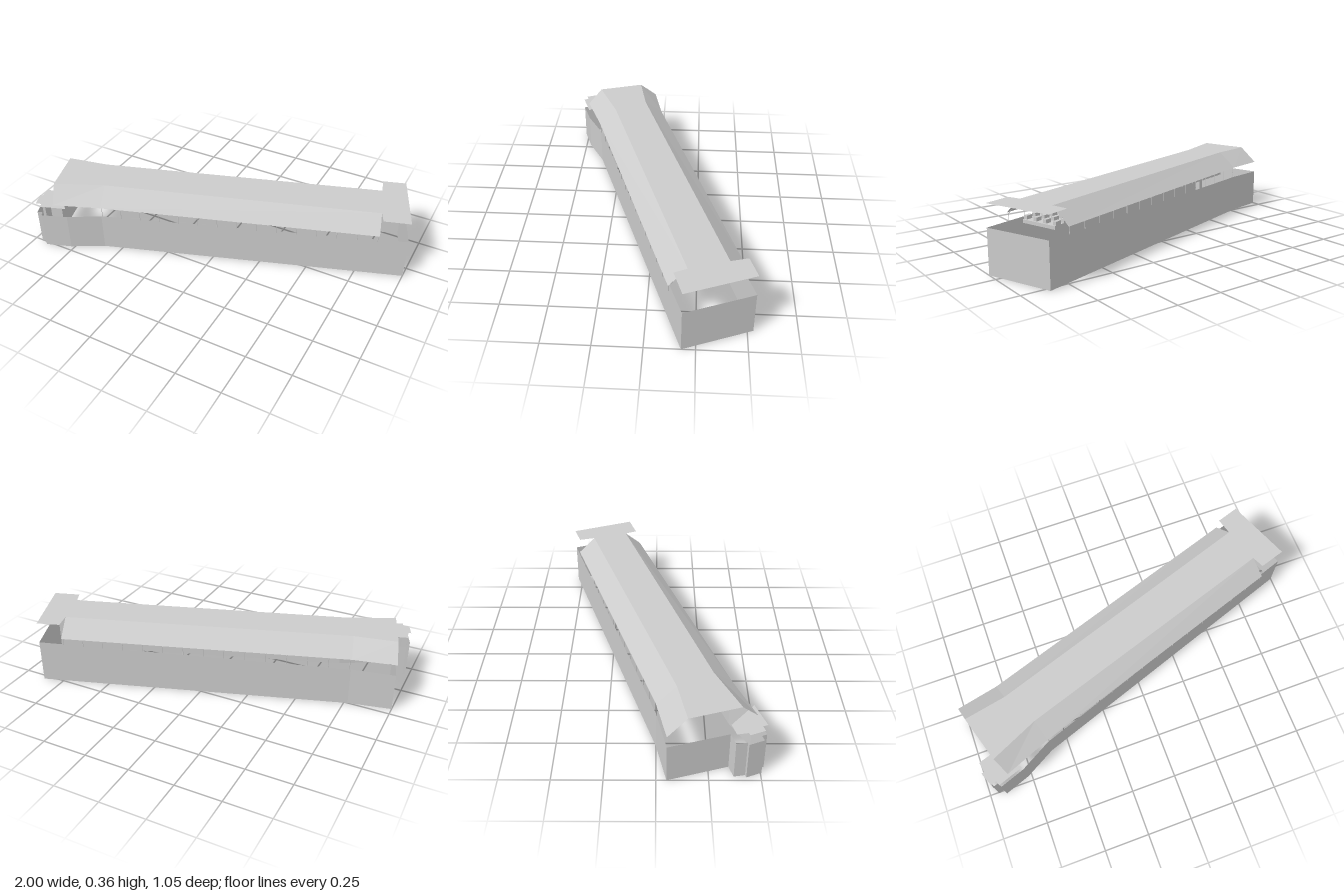
import * as THREE from 'three';

const mat = new THREE.MeshStandardMaterial({ color: 0xcccccc, flatShading: true, side: THREE.DoubleSide });
const V = (x, y, z) => new THREE.Vector3(x, y, z);

// Ground rises gently along the length of the building
const deckY = (x, z) => THREE.MathUtils.clamp(0.226 + 0.015 * (x * 0.949 - z * 0.316), 0.21, 0.24);

function add(group, name, geometry) {
  const mesh = new THREE.Mesh(geometry, mat);
  mesh.name = name;
  group.add(mesh);
  return mesh;
}

// Ribbon of quads between two rows of points
function ribbon(a, b) {
  const pos = [];
  for (let i = 0; i < a.length - 1; i++) {
    for (const p of [a[i], a[i + 1], b[i + 1], a[i], b[i + 1], b[i]]) pos.push(p.x, p.y, p.z);
  }
  const g = new THREE.BufferGeometry();
  g.setAttribute('position', new THREE.Float32BufferAttribute(pos, 3));
  g.computeVertexNormals();
  return g;
}

// Flat horizontal sheet from an [x, z] outline
function sheet(outline, y) {
  const shape = new THREE.Shape(outline.map(([x, z]) => new THREE.Vector2(x, -z)));
  return new THREE.ShapeGeometry(shape).rotateX(-Math.PI / 2).translate(0, y, 0);
}

export function createModel() {
  const model = new THREE.Group();
  const RIDGE = 0.36, EAVE = 0.275;

  // Roof lines as [x, z]
  const backRidge = [[-0.97, 0.145], [-0.74, 0.1], [0.765, -0.4]];
  const backEave = [[-1, 0.05], [-0.77, 0], [0.735, -0.495]];
  const frontRidge = [[-0.89, 0.4], [-0.63, 0.28], [0.83, -0.2]];
  const frontEave = [[-0.85, 0.48], [-0.6, 0.38], [0.86, -0.11]];
  const at = (line, y) => line.map(([x, z]) => V(x, y, z));

  // Roof: two slopes and a flat top that widens over the end
  const roof = new THREE.Group();
  roof.name = 'roof';
  model.add(roof);
  add(roof, 'frontRoofSlope', ribbon(at(frontEave, EAVE), at(frontRidge, RIDGE)));
  add(roof, 'backRoofSlope', ribbon(at(backRidge, RIDGE), at(backEave, EAVE)));
  add(roof, 'flatRoof', sheet([...backRidge, [0.74, -0.49], [0.862, -0.53], [1, -0.18],
    [0.86, -0.135], ...[...frontRidge].reverse()], RIDGE));

  // Outer walls, open at the bottom, with the small entrance bay at one corner
  const bay = [[-0.77, 0.47], [-0.91, 0.52], [-0.92, 0.495], [-0.95, 0.505], [-0.98, 0.43],
    [-0.965, 0.425], [-0.975, 0.37], [-0.91, 0.35]];
  const footprint = [[0.862, -0.53], [1, -0.18], [-0.6, 0.375], ...bay, [-1, 0.05],
    [-0.77, 0.0], [0.862, -0.53]];
  add(model, 'outerWalls', ribbon(
    footprint.map(([x, z]) => V(x, 0, z)),
    footprint.map(([x, z]) => V(x, deckY(x, z), z))));
  add(model, 'entranceCanopy', sheet(bay, 0.27));

  // Platform, in segments that step up along the slope
  const p = (t, w) => {
    const front = V(-0.69, 0, 0.3).lerp(V(0.82, 0, -0.2), t);
    const back = V(-0.75, 0, 0.105).lerp(V(0.755, 0, -0.395), t);
    return back.lerp(front, w);
  };
  const angle = Math.atan2(0.316, 0.949);
  const platform = new THREE.Group();
  platform.name = 'platform';
  model.add(platform);
  const SEGMENTS = 14;
  for (let i = 0; i < SEGMENTS; i++) {
    const c = p((i + 0.5) / SEGMENTS, 0.5);
    const slab = add(platform, 'platformSegment', new THREE.BoxGeometry(0.11, 0.018, 0.205));
    slab.position.set(c.x, deckY(c.x, c.z) + 0.008, c.z);
    slab.rotation.y = angle;
  }

  // Rows of benches on the platform
  const benchGeo = new THREE.BoxGeometry(0.035, 0.02, 0.02);
  for (const w of [0.05, 0.35, 0.65, 0.95]) {
    for (let i = 0; i < SEGMENTS * 2; i++) {
      const c = p((i + 0.5) / (SEGMENTS * 2), w);
      const bench = add(platform, 'bench', benchGeo);
      bench.position.set(c.x, deckY(c.x, c.z) + 0.026, c.z);
      bench.rotation.y = angle;
    }
  }

  // Roof frames: posts, sloping rafters and a shallow sagging tie
  const frames = new THREE.Group();
  frames.name = 'roofFrames';
  model.add(frames);
  const on = (line, t, y) => V(
    THREE.MathUtils.lerp(line[1][0], line[2][0], t), y,
    THREE.MathUtils.lerp(line[1][1], line[2][1], t));
  const tube = (pts) => {
    const path = new THREE.CurvePath();
    for (let i = 0; i < pts.length - 1; i++) path.add(new THREE.LineCurve3(pts[i], pts[i + 1]));
    return new THREE.TubeGeometry(path, 28, 0.002, 4);
  };
  const FRAMES = 15;
  for (let i = 0; i < FRAMES; i++) {
    const t = 0.005 + 0.99 * i / (FRAMES - 1);
    const fr = on(frontRidge, t, RIDGE - 0.004), br = on(backRidge, t, RIDGE - 0.004);
    for (const [line, ridge] of [[frontEave, fr], [backEave, br]]) {
      const e = on(line, t, EAVE).lerp(ridge, 0.06);
      const foot = e.clone().setY(deckY(e.x, e.z) - 0.005);
      add(frames, 'postAndRafter', tube([foot, e.clone().setY(EAVE - 0.004), ridge]));
    }
    const mid = fr.clone().lerp(br, 0.5).setY(RIDGE - 0.04);
    add(frames, 'roofTie', new THREE.TubeGeometry(new THREE.QuadraticBezierCurve3(fr, mid, br), 10, 0.002, 4));
  }

  return model;
}
